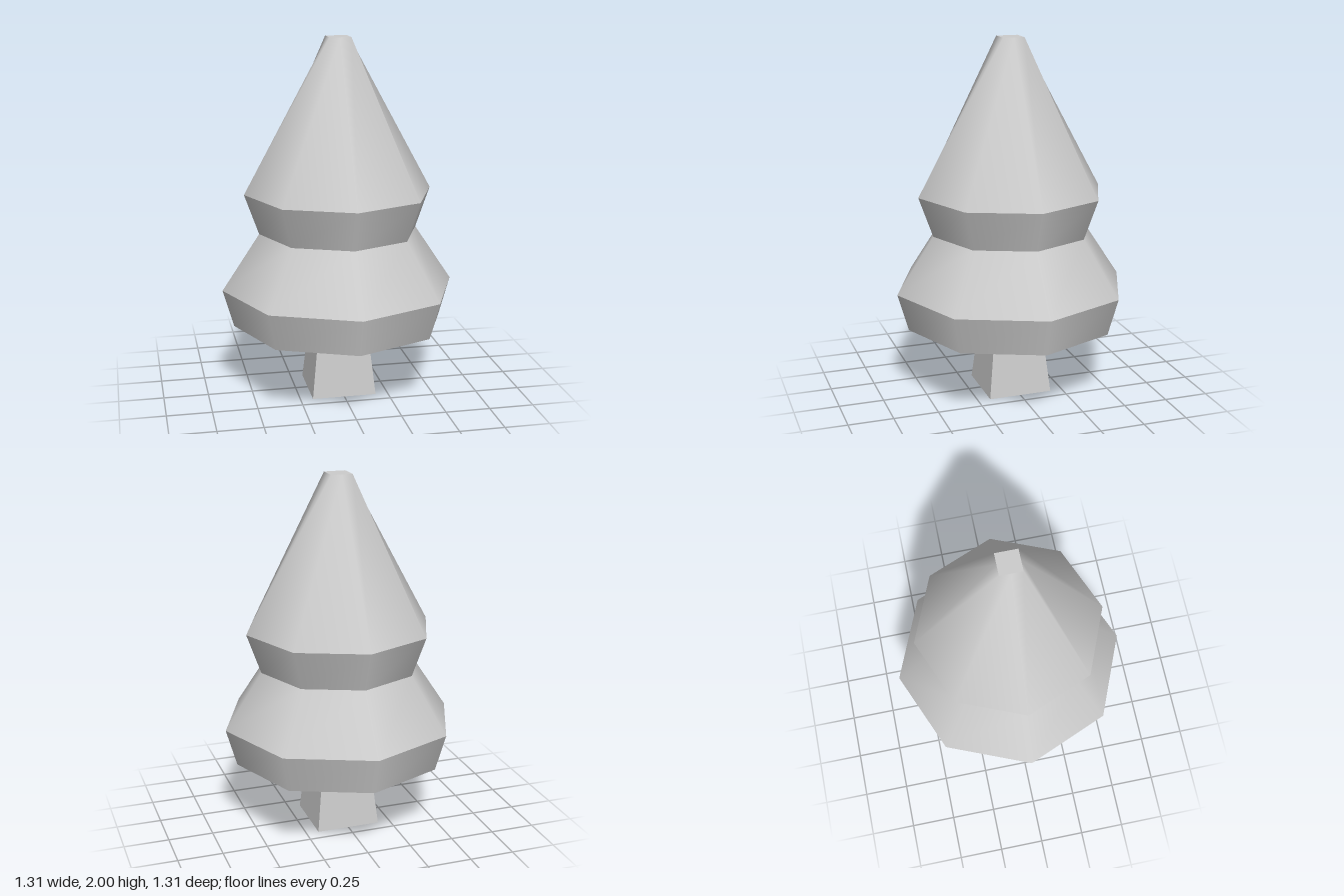
import * as THREE from 'three';

export function createModel() {
  const tree = new THREE.Group();
  tree.name = 'tree';
  const smooth = new THREE.MeshStandardMaterial({ color: 0xcccccc });
  const flat = new THREE.MeshStandardMaterial({ color: 0xcccccc, flatShading: true });

  const add = (name, geometry, material) => {
    const mesh = new THREE.Mesh(geometry, material);
    mesh.name = name;
    tree.add(mesh);
    return mesh;
  };

  // Eight-sided band between two heights, corners on the axes
  const band = (y0, r0, y1, r1, open = true) =>
    new THREE.CylinderGeometry(r1, r0, y1 - y0, 8, 1, open).translate(0, (y0 + y1) / 2, 0);

  // Square trunk, slightly tapered
  const trunk = new THREE.CylinderGeometry(0.137 * Math.SQRT2, 0.18 * Math.SQRT2, 0.4, 4, 1, false, Math.PI / 4);
  add('trunk', trunk.translate(0, 0.2, 0), flat);

  // Underside of the foliage
  const base = new THREE.CircleGeometry(0.595, 8).rotateX(Math.PI / 2).translate(0, 0.4, 0);
  add('foliageUnderside', base, smooth);

  // Lower and upper tiers: a flaring skirt and a sloping top each
  add('lowerSkirt', band(0.4, 0.595, 0.61, 0.655), smooth);
  add('lowerSlope', band(0.61, 0.655, 0.925, 0.445), smooth);
  add('upperSkirt', band(0.925, 0.445, 1.15, 0.525), smooth);

  // Crown: octagon at the bottom, blending to a small square at the tip
  const crown = band(1.15, 0.525, 2, 0.06, false);
  const p = crown.attributes.position;
  for (let i = 0; i < p.count; i++) {
    const x = p.getX(i), z = p.getZ(i);
    const r = Math.hypot(x, z);
    if (p.getY(i) < 1.9 || r < 0.01) continue;
    const k = r / Math.max(Math.abs(x), Math.abs(z));
    p.setXYZ(i, x * k, p.getY(i), z * k);
  }
  add('crown', crown, smooth);

  return tree;
}
